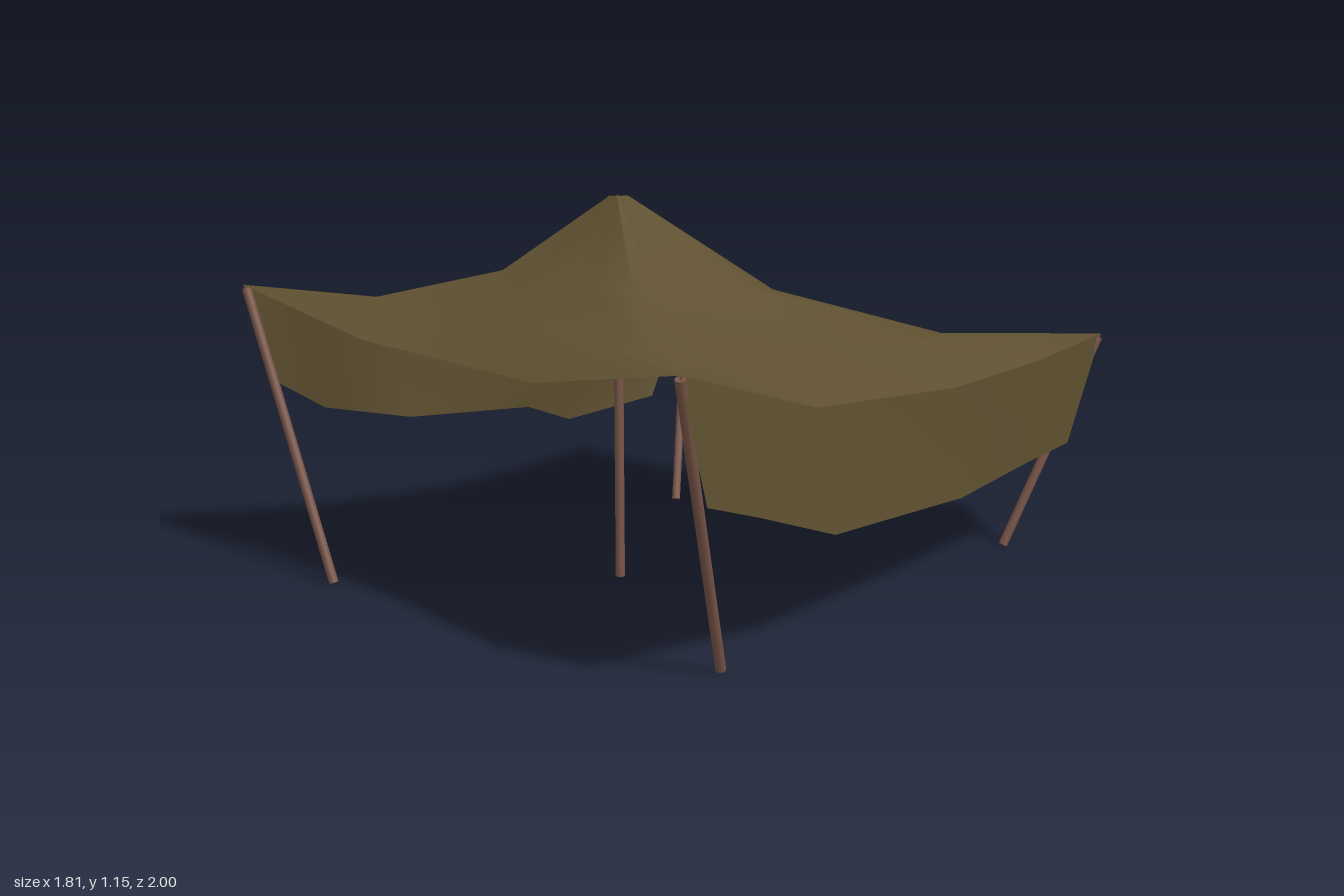
import * as THREE from 'three';

const canvas = new THREE.MeshStandardMaterial({ color: 0x5e5030, side: THREE.DoubleSide });
canvas.name = 'olive canvas';
const wood = new THREE.MeshStandardMaterial({ color: 0x795548 });
wood.name = 'brown wood';

// Roof edge, one list per side, going round from the front: x, y, z, inner height, upper height
const FL = [-0.9, 0.87, 0.93, 0.84, 0.93], FR = [0.86, 0.85, 0.99, 0.8, 0.92];
const BR = [0.9, 0.67, -1, 0.7, 0.86], BL = [-0.57, 0.67, -0.7, 0.74, 0.88];
const edges = {
  front: [FL, [-0.4, 0.76, 0.89, 0.83, 0.94], [-0.03, 0.75, 0.9, 0.86, 0.95], [0.3, 0.74, 0.91, 0.83, 0.94], FR],
  right: [FR, [0.84, 0.76, 0.7, 0.79, 0.92], [0.83, 0.67, 0.42, 0.78, 0.91], [0.83, 0.61, -0.25, 0.74, 0.9],
    [0.87, 0.63, -0.65, 0.71, 0.87], BR],
  back: [BR, [0.72, 0.62, -0.93, 0.7, 0.86], [0.4, 0.565, -0.82, 0.7, 0.87], [0.08, 0.57, -0.77, 0.71, 0.88],
    [-0.23, 0.58, -0.7, 0.72, 0.88], BL],
  left: [BL, [-0.58, 0.65, -0.35, 0.75, 0.89], [-0.6, 0.63, 0, 0.77, 0.91], [-0.73, 0.69, 0.48, 0.8, 0.92],
    [-0.82, 0.78, 0.72, 0.82, 0.93], FL],
};

// Lower hems of the three hanging curtains
const hems = {
  right: [[0.87, 0.52, 0.9], [0.87, 0.45, 0.7], [0.87, 0.33, 0.38], [0.83, 0.27, -0.31], [0.85, 0.31, -0.65], [0.88, 0.34, -0.85]],
  back: [[0.78, 0.34, -0.99], [0.58, 0.275, -0.91], [0.33, 0.225, -0.88], [0, 0.235, -0.79], [-0.26, 0.245, -0.7], [-0.5, 0.34, -0.7]],
  left: [[-0.58, 0.33, -0.53], [-0.67, 0.29, -0.2], [-0.63, 0.38, 0.03], [-0.72, 0.41, 0.46], [-0.89, 0.45, 0.66], [-0.89, 0.57, 0.85]],
};

const PEAK = [0.05, 1.15, 0.32];

// Joins equal-length rows of points into a smooth sheet
function sheet(name, rows, closed) {
  const n = rows[0].length, index = [];
  for (let r = 0; r < rows.length - 1; r++) {
    for (let i = 0; i < (closed ? n : n - 1); i++) {
      const j = (i + 1) % n, a = r * n + i, b = r * n + j;
      index.push(a, a + n, b + n, a, b + n, b);
    }
  }
  const geo = new THREE.BufferGeometry();
  geo.setAttribute('position', new THREE.Float32BufferAttribute(rows.flat(2), 3));
  geo.setIndex(index);
  geo.computeVertexNormals();
  const mesh = new THREE.Mesh(geo, canvas);
  mesh.name = name;
  return mesh;
}

function pole(name, bottom, top) {
  const a = new THREE.Vector3(...bottom), b = new THREE.Vector3(...top);
  const dir = b.clone().sub(a);
  const mesh = new THREE.Mesh(new THREE.CylinderGeometry(0.014, 0.014, dir.length(), 10), wood);
  mesh.position.copy(a).add(b).multiplyScalar(0.5);
  mesh.quaternion.setFromUnitVectors(new THREE.Vector3(0, 1, 0), dir.normalize());
  mesh.name = name;
  return mesh;
}

export function createModel() {
  const model = new THREE.Group();
  model.name = 'canopyTent';

  // Sagging roof: rings running out from the peak to the edge
  const rim = Object.values(edges).flatMap((side) => side.slice(0, -1));
  const ring = (t, y) => rim.map((p) => [
    THREE.MathUtils.lerp(PEAK[0], p[0], t), y(p), THREE.MathUtils.lerp(PEAK[2], p[2], t)]);
  model.add(sheet('roof', [
    ring(0.02, () => PEAK[1]),
    ring(0.3, (p) => p[4]),
    ring(0.65, (p) => p[3]),
    ring(1, (p) => p[1]),
  ], true));

  // Cap closing the small hole at the peak
  const cap = new THREE.Mesh(new THREE.ConeGeometry(0.02, 0.012, 12), canvas);
  cap.position.set(PEAK[0], PEAK[1] - 0.004, PEAK[2]);
  cap.name = 'peakCap';
  model.add(cap);

  // Curtains hanging from the sides and back
  for (const side of Object.keys(hems)) {
    const top = edges[side].map((p) => p.slice(0, 3));
    const middle = top.map((p, i) => p.map((v, k) => (v + hems[side][i][k]) / 2));
    model.add(sheet(side + 'Curtain', [top, middle, hems[side]], false));
  }

  // Centre pole and four leaning corner poles
  model.add(
    pole('centrePole', [0.05, 0.02, 0.32], [0.05, 1.13, 0.32]),
    pole('frontPoleA', [-0.58, 0.005, 0.89], [-0.89, 0.86, 0.925]),
    pole('frontPoleB', [0.725, 0.01, 0.67], [0.855, 0.84, 0.98]),
    pole('backPoleA', [0.735, 0.005, -0.73], [0.895, 0.66, -0.99]),
    pole('backPoleB', [-0.39, 0.005, -0.44], [-0.565, 0.66, -0.695]),
  );
  return model;
}
